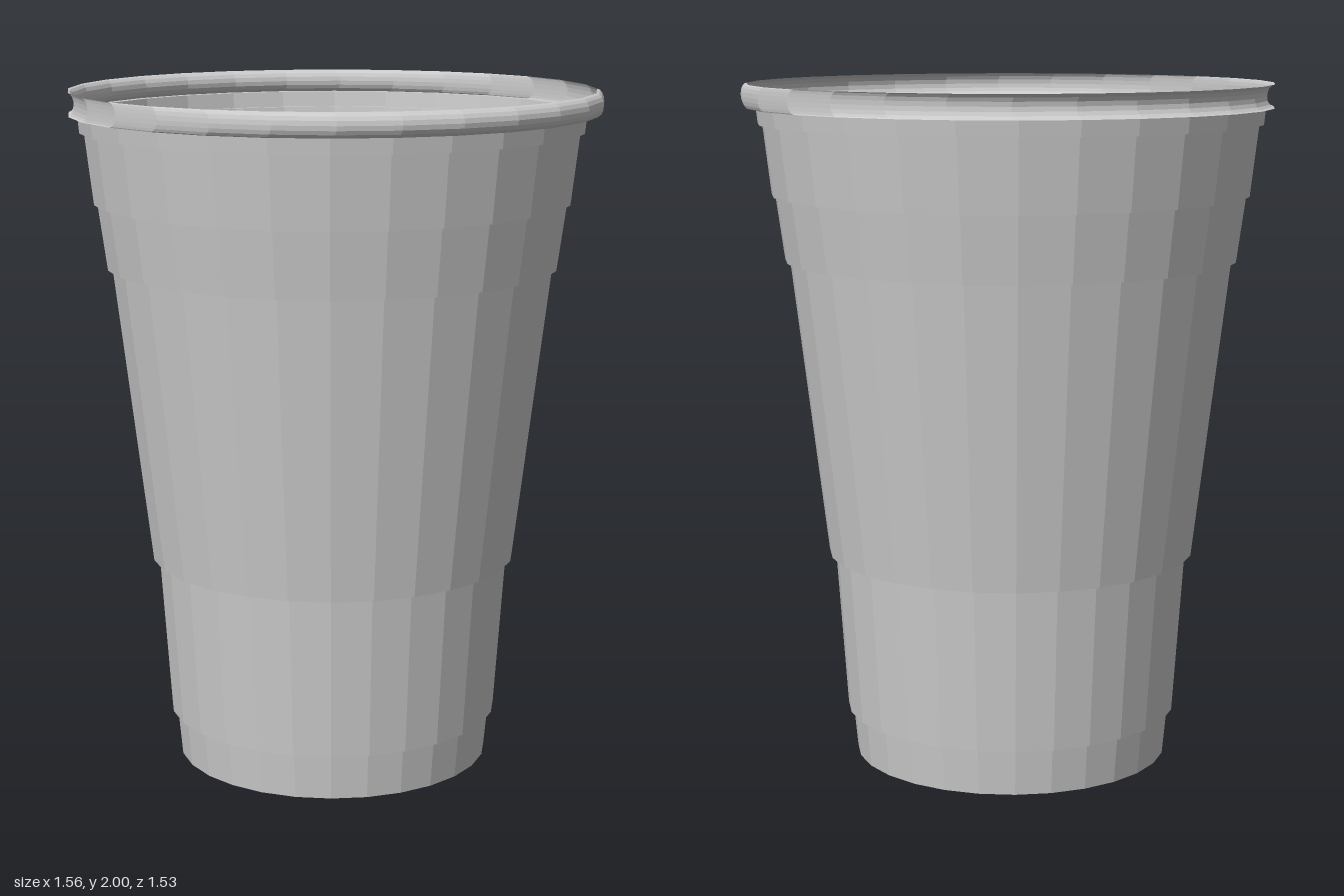
import * as THREE from 'three';

const SIDES = 28;
const AXIS_X = -0.015;

export function createModel() {
  const group = new THREE.Group();
  group.name = 'cup';
  const material = new THREE.MeshStandardMaterial({
    color: 0xcccccc, flatShading: true, side: THREE.DoubleSide,
  });

  // Turns a list of [radius, height] pairs around the cup's axis
  const turn = (name, profile) => {
    const points = profile.map(([r, y]) => new THREE.Vector2(r, y));
    const mesh = new THREE.Mesh(new THREE.LatheGeometry(points, SIDES), material);
    mesh.name = name;
    mesh.position.x = AXIS_X;
    group.add(mesh);
    return mesh;
  };

  // Flat floor and the sloping wall that carries it inside the foot
  turn('floor', [[0, 0.005], [0.365, 0.005]]);
  turn('floorSlope', [[0.365, 0.005], [0.478, 0.137]]);

  // Open foot below the floor slope
  turn('foot', [[0.465, 0], [0.478, 0.137]]);

  // Tapered wall with a small ledge at each step, ending in the ledge under the rim
  turn('wall', [
    [0.478, 0.137], [0.492, 0.137],
    [0.525, 0.615], [0.543, 0.615],
    [0.648, 1.49], [0.662, 1.49],
    [0.688, 1.68], [0.698, 1.68],
    [0.722, 1.885], [0.735, 1.885],
    [0.74, 1.932], [0.765, 1.932],
  ]);

  // Rim: an upright band whose half-round bulge points to +x all the way round
  const half = 0.034, middle = 1.966, steps = 8;
  const band = [];
  for (let i = 0; i <= steps; i++) {
    band.push([0.765, middle - half * Math.cos((Math.PI * i) / steps)]);
  }
  const rim = turn('rim', band);
  const pos = rim.geometry.attributes.position;
  for (let i = 0; i < pos.count; i++) {
    const t = (pos.getY(i) - middle) / half;
    pos.setX(i, pos.getX(i) + 0.031 * Math.sqrt(Math.max(0, 1 - t * t)));
  }
  rim.geometry.computeVertexNormals();

  return group;
}
